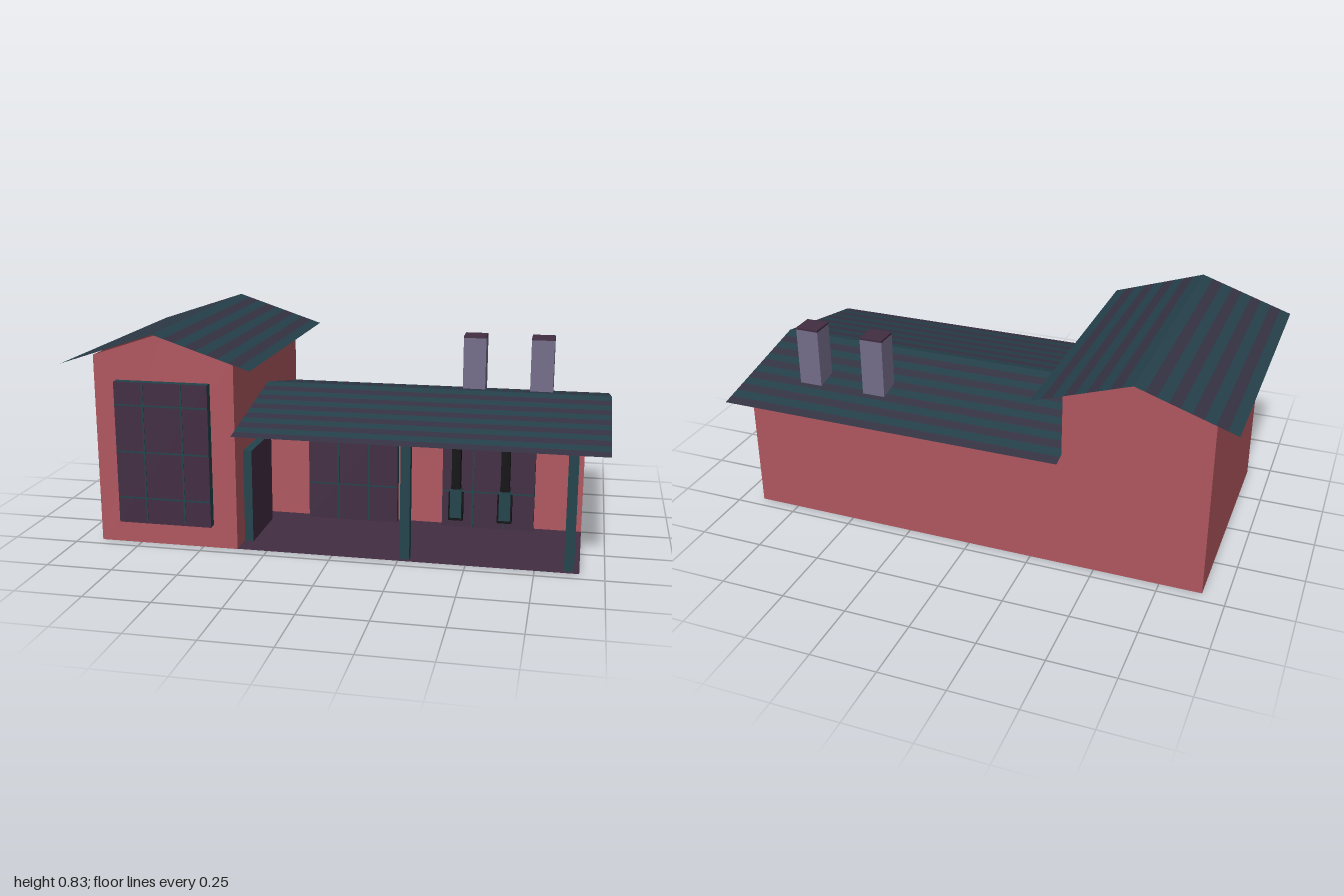
import * as THREE from 'three';

const mat = (name, color, side = THREE.FrontSide) => {
  const m = new THREE.MeshStandardMaterial({ color, side });
  m.name = name;
  return m;
};

export function createModel() {
  const model = new THREE.Group();
  model.name = 'stableHouse';

  const red = mat('redWall', 0xb0575f, THREE.DoubleSide);
  const plum = mat('plumWood', 0x422d42, THREE.DoubleSide);
  const teal = mat('tealTrim', 0x22434c);
  const roofTeal = mat('roofTeal', 0x25404a, THREE.DoubleSide);
  const roofSlate = mat('roofSlate', 0x353343, THREE.DoubleSide);
  const stone = mat('greyStone', 0x736c8a);
  const black = mat('blackIron', 0x0e0e11);

  const add = (name, geometry, material, parent = model) => {
    const mesh = new THREE.Mesh(geometry, material);
    mesh.name = name;
    parent.add(mesh);
    return mesh;
  };

  // Flat convex panel from its corners
  const panel = (name, corners, material, parent) => {
    const g = new THREE.BufferGeometry();
    const pos = [];
    for (let i = 1; i < corners.length - 1; i++) pos.push(...corners[0], ...corners[i], ...corners[i + 1]);
    g.setAttribute('position', new THREE.Float32BufferAttribute(pos, 3));
    g.computeVertexNormals();
    return add(name, g, material, parent);
  };

  // Box given by its minimum and maximum corners
  const box = (name, a, b, material, parent) => {
    const g = new THREE.BoxGeometry(b[0] - a[0], b[1] - a[1], b[2] - a[2]);
    g.translate((a[0] + b[0]) / 2, (a[1] + b[1]) / 2, (a[2] + b[2]) / 2);
    return add(name, g, material, parent);
  };

  // Tall gabled block
  const L = -0.91, M = -0.365, R = 0.91, D = 0.455;
  const ridgeX = (L + M) / 2;
  for (const [name, z] of [['towerFrontWall', D], ['towerBackWall', -D]]) {
    const pts = [[L, 0, z], [M, 0, z], [M, 0.73, z], [ridgeX, 0.82, z], [L, 0.73, z]];
    panel(name, z > 0 ? pts : pts.reverse(), red);
  }
  panel('towerOuterWall', [[L, 0, -D], [L, 0, D], [L, 0.73, D], [L, 0.73, -D]], red);
  panel('towerInnerWall', [[M, 0, D], [M, 0, -D], [M, 0.73, -D], [M, 0.73, D]], red);

  // Long block with a porch under the front half of its roof
  panel('longBackWall', [[R, 0, -D], [M, 0, -D], [M, 0.455, -D], [R, 0.455, -D]], red);
  panel('porchWall', [[M, 0, 0], [R, 0, 0], [R, 0.545, 0], [M, 0.545, 0]], red);
  panel('endWall', [[R, 0, 0], [R, 0, -D], [R, 0.455, -D], [R, 0.545, 0]], red);
  panel('porchGable', [[R, 0.455, D], [R, 0.455, 0], [R, 0.545, 0]], red);
  panel('porchFloor', [[M, 0.001, D], [R, 0.001, D], [R, 0.001, 0], [M, 0.001, 0]], plum);
  panel('porchCeiling', [[M, 0.455, 0], [R, 0.455, 0], [R, 0.455, D], [M, 0.455, D]], plum);

  // Sheet roof: each slope is a run of courses in two colours, teal at the ridge
  const roof = (name, half, top, drop, courses, point) => {
    const group = new THREE.Group();
    group.name = name;
    model.add(group);
    const at = (t, side, end) => point(t * half * side, top - drop * t, end);
    for (const side of [-1, 1]) {
      for (let i = 0; i < courses; i++) {
        const a = i / courses, b = (i + 1) / courses;
        const pts = [at(a, side, 0), at(b, side, 0), at(b, side, 1), at(a, side, 1)];
        const p = pts.map(v => new THREE.Vector3(...v));
        const up = p[1].clone().sub(p[0]).cross(p[2].clone().sub(p[0])).y;
        panel('roofCourse', up > 0 ? pts : pts.reverse(), i % 2 ? roofSlate : roofTeal, group);
      }
    }
  };
  roof('towerRoof', 0.3625, 0.83, 0.12, 9, (s, y, e) => [ridgeX + s, y, e ? 0.545 : -0.545]);
  roof('longRoof', 0.508, 0.555, 0.1, 12, (s, y, e) => [e ? 1 : M, y, s]);

  // Raised openings: plum face, teal edges and thin glazing bars
  const opening = (name, w, h, cols, rows, place) => {
    const group = new THREE.Group();
    group.name = name;
    const g = new THREE.BoxGeometry(w, h, 0.033);
    g.translate(0, h / 2, 0.0195);
    add('leaf', g, [teal, teal, teal, teal, plum, plum], group);
    for (const x of cols) box('bar', [x - 0.003, 0.004, 0.036], [x + 0.003, h - 0.004, 0.038], teal, group);
    for (const y of rows) box('bar', [-w / 2, y - 0.003, 0.036], [w / 2, y + 0.003, 0.038], teal, group);
    place(group);
    model.add(group);
  };
  opening('bigWindow', 0.364, 0.548, [-0.07, 0.08], [0.1, 0.28, 0.46],
    g => g.position.set(ridgeX, 0.091, D));
  for (const x of [-0.004, 0.542]) {
    opening('porchDoor', 0.364, 0.453, [-0.06, 0.065], [0.15, 0.33], g => g.position.set(x, 0, 0));
  }
  opening('sideDoor', 0.275, 0.364, [], [], g => {
    g.position.set(M, 0, 0.228);
    g.rotation.y = Math.PI / 2;
  });

  // Porch posts
  for (const x of [0.273, 0.873]) {
    box('porchPost', [x - 0.018, 0, 0.4], [x + 0.018, 0.455, 0.437], teal);
  }

  // Chimneys on the back slope
  for (const x of [0.45, 0.725]) {
    box('chimney', [x - 0.046, 0.46, -0.316], [x + 0.046, 0.722, -0.226], stone);
    box('chimneyCap', [x - 0.046, 0.722, -0.316], [x + 0.046, 0.73, -0.226], plum);
  }

  // Lanterns hanging from the porch ceiling
  for (const x of [0.452, 0.631]) {
    const lantern = new THREE.Group();
    lantern.name = 'hangingLantern';
    lantern.position.set(x, 0, 0.366);
    model.add(lantern);
    box('strap', [-0.016, 0.27, -0.017], [0.016, 0.455, 0.017], black, lantern);
    box('body', [-0.027, 0.145, -0.01], [0.027, 0.25, 0.01], black, lantern);
    box('neck', [-0.018, 0.25, -0.01], [0.018, 0.28, 0.01], black, lantern);
    box('pane', [-0.021, 0.155, -0.012], [0.021, 0.265, 0.012], teal, lantern);
  }

  return model;
}
